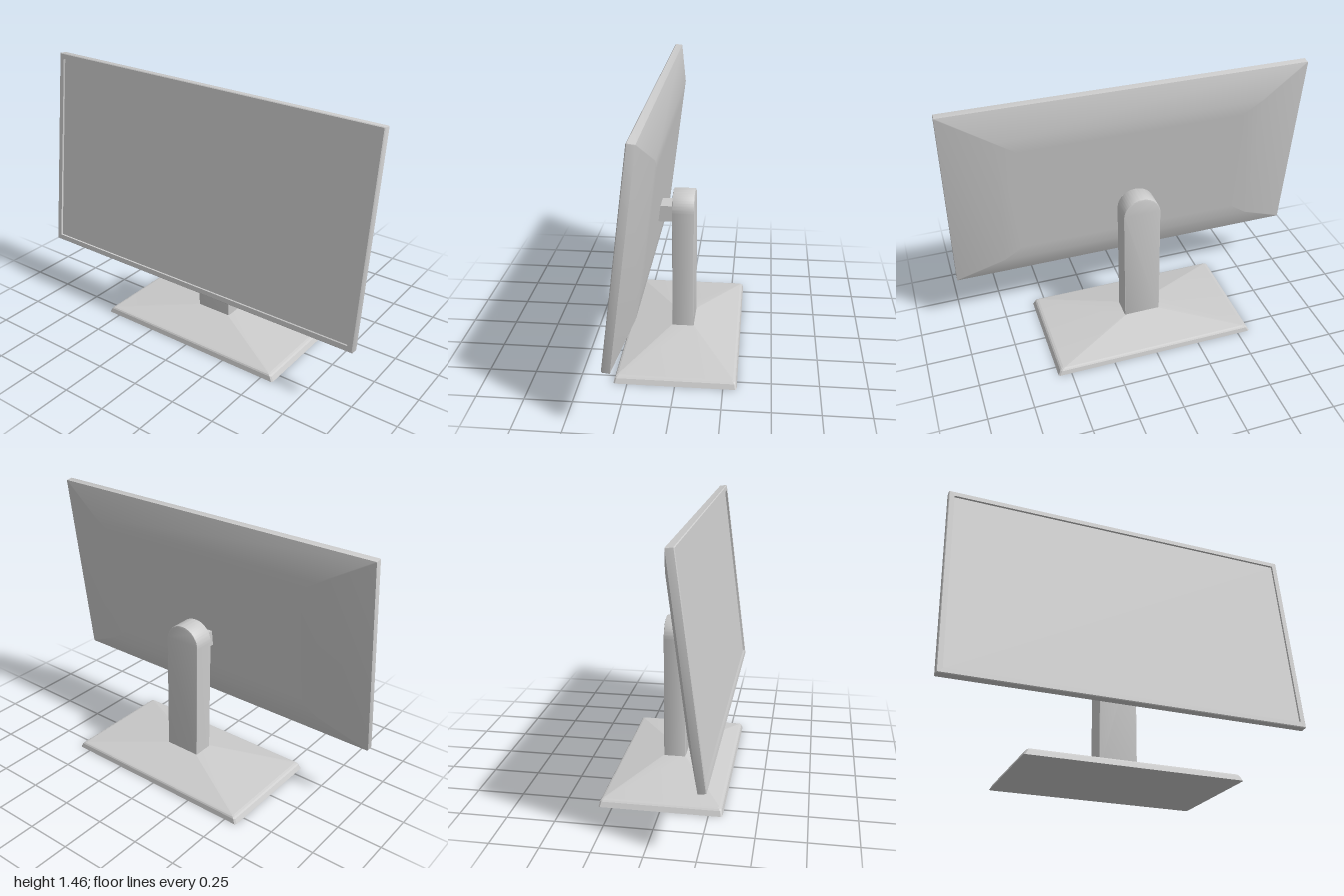
import * as THREE from 'three';
import { toCreasedNormals } from 'three/addons/utils/BufferGeometryUtils.js';

const grey = new THREE.MeshStandardMaterial({ color: 0xcccccc });

// Counter-clockwise rectangle with slightly rounded corners
function ring([hw, hh, z], r, steps) {
  const points = [];
  [[1, 1], [-1, 1], [-1, -1], [1, -1]].forEach(([sx, sy], corner) => {
    for (let s = 0; s <= steps; s++) {
      const a = (corner + s / steps) * Math.PI / 2;
      points.push([sx * (hw - r) + r * Math.cos(a), sy * (hh - r) + r * Math.sin(a), z]);
    }
  });
  return points;
}

// Skin a list of [halfWidth, halfHeight, z] sections, running from +z to -z
function loft(sections, { radius, crease, steps = 2, frontCap = false }) {
  const rings = sections.map((s) => ring(s, radius, steps));
  const n = rings[0].length;
  const verts = rings.flat(2);
  const index = [];
  for (let i = 0; i < rings.length - 1; i++) {
    for (let j = 0; j < n; j++) {
      const k = (j + 1) % n;
      const a = i * n + j, b = i * n + k, c = a + n, d = b + n;
      index.push(a, c, b, b, c, d);
    }
  }
  const cap = (i, front) => {
    const centre = verts.length / 3;
    verts.push(0, 0, sections[i][2]);
    for (let j = 0; j < n; j++) {
      const a = i * n + j, b = i * n + (j + 1) % n;
      index.push(...(front ? [a, b, centre] : [b, a, centre]));
    }
  };
  cap(rings.length - 1, false);
  if (frontCap) cap(0, true);
  const geo = new THREE.BufferGeometry();
  geo.setAttribute('position', new THREE.Float32BufferAttribute(verts, 3));
  geo.setIndex(index);
  return toCreasedNormals(geo, crease);
}

function addMesh(parent, name, geometry) {
  const mesh = new THREE.Mesh(geometry, grey);
  mesh.name = name;
  parent.add(mesh);
  return mesh;
}

export function createModel() {
  const model = new THREE.Group();
  model.name = 'monitor';

  // Base: shallow pyramid with a rounded lip
  const base = loft([
    [0.105, 0.06, 0.095],
    [0.54, 0.302, 0.036],
    [0.552, 0.311, 0.032],
    [0.56, 0.316, 0.025],
    [0.573, 0.322, 0],
  ], { radius: 0.008, crease: 0.1, steps: 1, frontCap: true });
  base.rotateX(-Math.PI / 2);
  addMesh(model, 'base', base);

  // Post: arched plate with softened edges
  const bevel = 0.006, r = 0.105 - bevel, spring = 0.775;
  const arch = new THREE.Shape();
  arch.moveTo(-r, 0.07);
  arch.lineTo(r, 0.07);
  arch.lineTo(r, spring);
  arch.absarc(0, spring, r, 0, Math.PI, false);
  arch.closePath();
  const post = new THREE.ExtrudeGeometry(arch, {
    depth: 0.12 - 2 * bevel, curveSegments: 24,
    bevelSize: bevel, bevelThickness: bevel, bevelSegments: 2,
  });
  post.translate(0, 0, -0.06 + bevel);
  addMesh(model, 'post', toCreasedNormals(post, 0.5));

  // Arm between post and display
  addMesh(model, 'mountArm', new THREE.BoxGeometry(0.12, 0.09, 0.11)).position.set(0, 0.755, 0.105);

  // Display, tilted back
  const display = new THREE.Group();
  display.name = 'display';
  display.position.set(0, 0.905, 0.2225);
  display.rotation.x = -0.13;
  model.add(display);

  // Bezel, sides and tapered back shell
  addMesh(display, 'housing', loft([
    [0.97, 0.53, -0.012],
    [0.97, 0.53, 0],
    [0.996, 0.556, 0],
    [1, 0.56, -0.004],
    [1, 0.56, -0.042],
    [0.73, 0.408, -0.109],
    [0.62, 0.33, -0.109],
  ], { radius: 0.004, crease: 0.5 }));

  // Recessed screen
  addMesh(display, 'screen', new THREE.PlaneGeometry(1.94, 1.06)).position.z = -0.012;

  return model;
}
